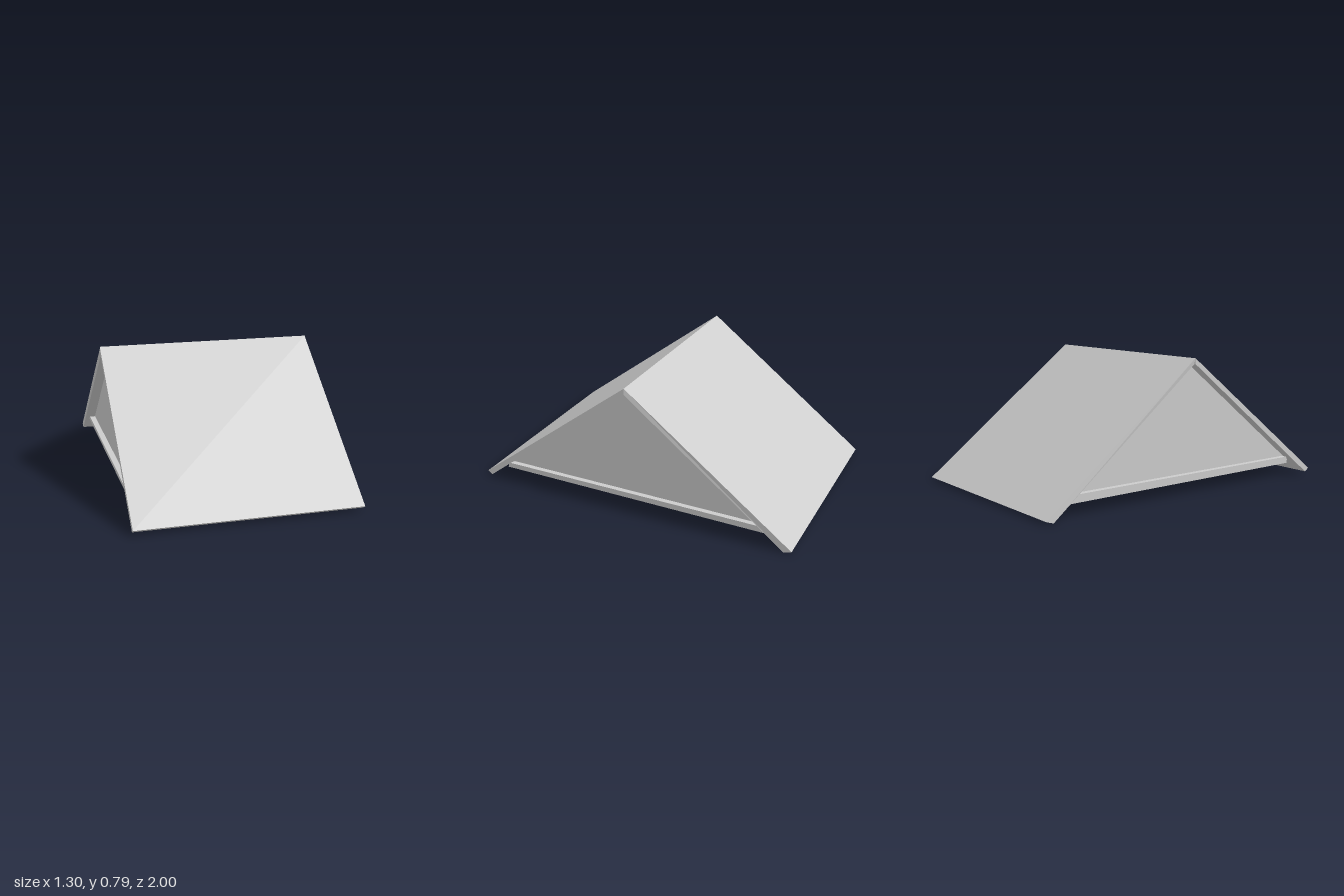
import * as THREE from 'three';

const material = new THREE.MeshStandardMaterial({ color: 0xcccccc, flatShading: true });

// Solid with a [z, y] outline, running from x0 to x1
function prism(name, outline, x0, x1) {
  const shape = new THREE.Shape(outline.map(([z, y]) => new THREE.Vector2(z, y)));
  const geometry = new THREE.ExtrudeGeometry(shape, { depth: x1 - x0, bevelEnabled: false });
  geometry.rotateY(-Math.PI / 2).translate(x1, 0, 0);
  const mesh = new THREE.Mesh(geometry, material);
  mesh.name = name;
  return mesh;
}

export function createModel() {
  const model = new THREE.Group();
  model.name = 'gableRoof';

  // Two sloping roof panels meeting at the ridge
  const front = prism('frontRoofPanel', [[1, 0.03], [0.01, 0.79], [0.01, 0.757], [0.97, 0.01]], -0.655, 0.64);
  const back = prism('backRoofPanel', [[0.01, 0.79], [-1, 0.015], [-0.955, 0], [0.01, 0.757]], -0.655, 0.64);

  // The back panel sits slightly skewed, drifting towards +x near the ridge
  const position = back.geometry.attributes.position;
  for (let i = 0; i < position.count; i++) {
    const y = position.getY(i);
    const drift = y > 0.77 ? 0.003 : 0.012 * y;
    position.setX(i, position.getX(i) + drift);
  }
  back.geometry.computeVertexNormals();
  model.add(front, back);

  // Attic body whose ends form the recessed gable walls
  model.add(prism('gableWalls', [[0.835, 0.115], [0.01, 0.757], [-0.825, 0.115]], -0.59, 0.6));

  // Thin ledge under the gable walls, and the ceiling slab below it
  model.add(prism('ledge', [[0.83, 0.097], [0.82, 0.12], [-0.81, 0.12], [-0.83, 0.095]], -0.625, 0.63));
  model.add(prism('ceilingSlab', [[0.87, 0.068], [0.865, 0.1], [-0.845, 0.095], [-0.845, 0.063]], -0.588, 0.6));

  return model;
}
